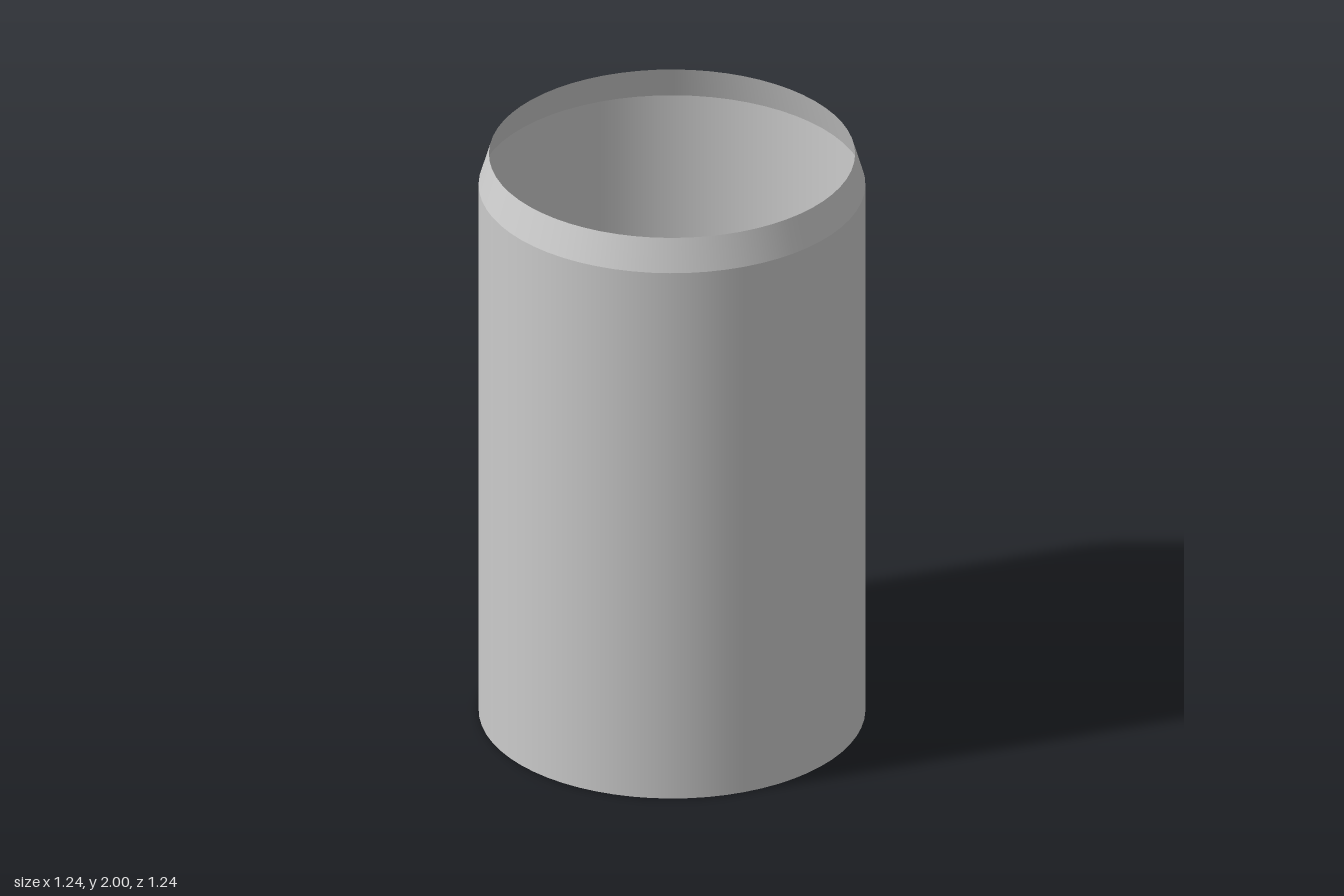
import * as THREE from 'three';

const SIDES = 64;
const RADIUS = 0.618;
const RIM_RADIUS = 0.585;
const SHOULDER_Y = 1.89;
const HEIGHT = 2;

export function createModel() {
  const group = new THREE.Group();
  group.name = 'openSleeve';
  const material = new THREE.MeshStandardMaterial({ color: 0xcccccc, side: THREE.DoubleSide });

  // Open, thin-walled ring between two heights
  const addRing = (name, bottomRadius, topRadius, y0, y1) => {
    const geometry = new THREE.CylinderGeometry(topRadius, bottomRadius, y1 - y0, SIDES, 1, true);
    const mesh = new THREE.Mesh(geometry, material);
    mesh.name = name;
    mesh.position.y = (y0 + y1) / 2;
    group.add(mesh);
  };

  // Straight wall, then the tapered collar that meets it at a crease
  addRing('wall', RADIUS, RADIUS, 0, SHOULDER_Y);
  addRing('taperedCollar', RADIUS, RIM_RADIUS, SHOULDER_Y, HEIGHT);

  return group;
}
